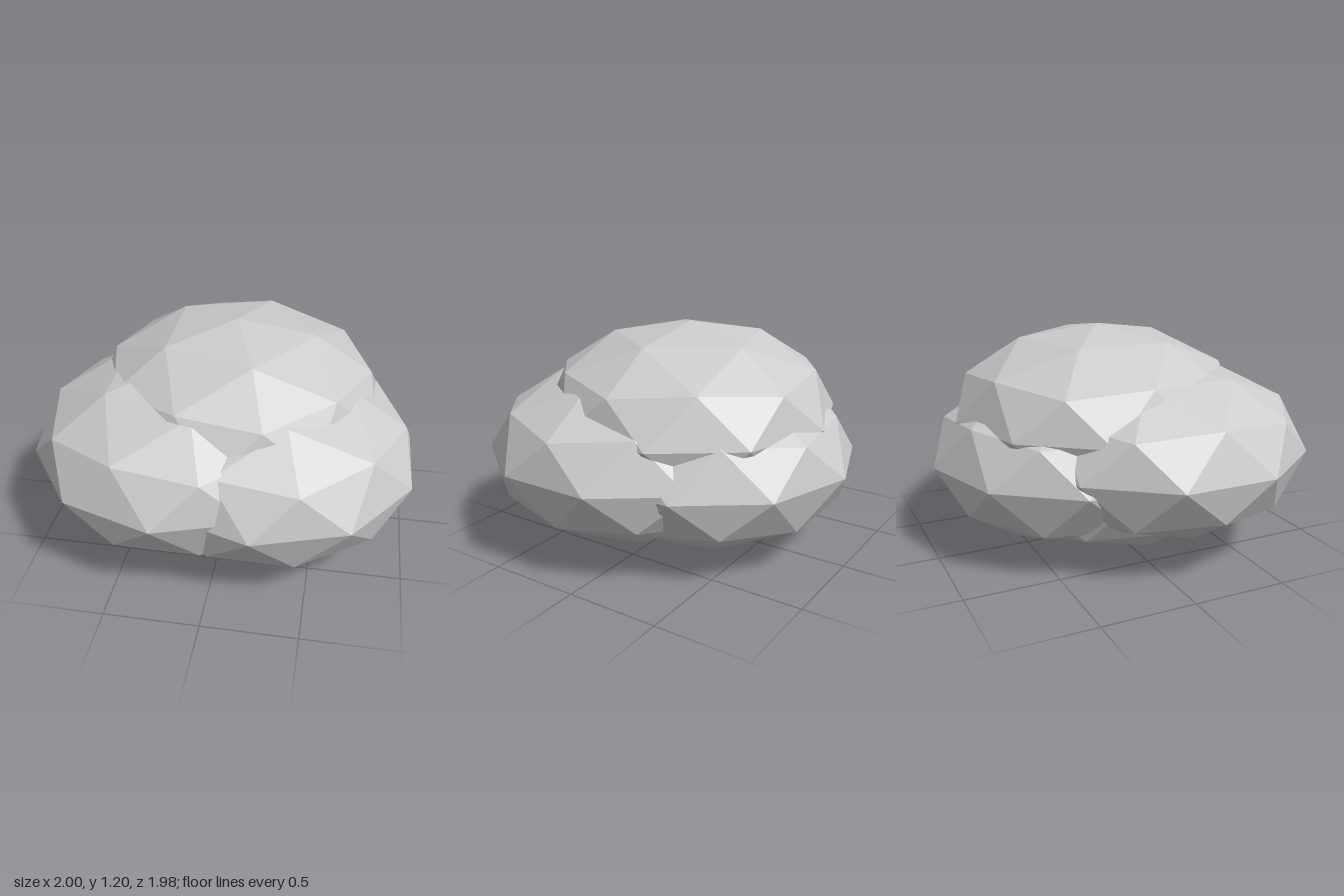
import * as THREE from 'three';

// Faceted boulder: an icosphere with a vertex straight up, flattened in y
function boulderGeometry(radius, halfHeight) {
  const geometry = new THREE.IcosahedronGeometry(1, 1);
  geometry.rotateZ(-Math.atan(2 / (1 + Math.sqrt(5))));
  geometry.scale(radius, halfHeight, radius);
  geometry.computeVertexNormals();
  return geometry;
}

export function createModel() {
  const group = new THREE.Group();
  group.name = 'rockCluster';
  const material = new THREE.MeshStandardMaterial({ color: 0xcccccc, flatShading: true });
  const geometry = boulderGeometry(0.805, 0.47);

  // Overlapping boulders: name and centre
  const boulders = [
    ['rightFrontBoulder', -0.235, 0.565, 0.18],
    ['leftFrontBoulder', 0.235, 0.53, 0.15],
    ['backBoulder', 0.03, 0.5, -0.185],
    ['bottomBoulder', -0.03, 0.47, 0.01],
    ['topBoulder', 0.03, 0.73, -0.055],
  ];
  for (const [name, x, y, z] of boulders) {
    const boulder = new THREE.Mesh(geometry, material);
    boulder.name = name;
    boulder.position.set(x, y, z);
    group.add(boulder);
  }
  return group;
}
